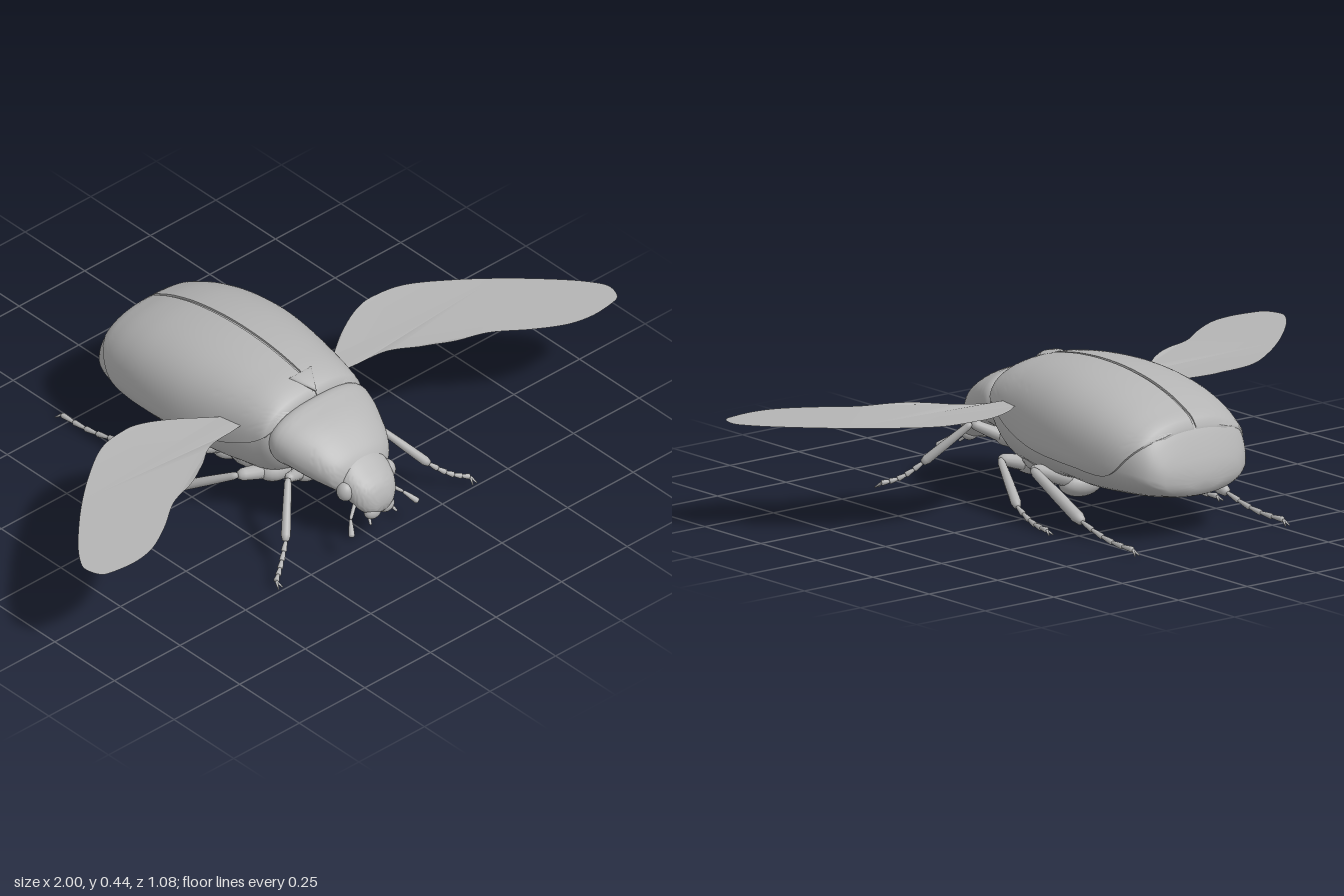
import * as THREE from 'three';
import { toCreasedNormals } from 'three/addons/utils/BufferGeometryUtils.js';
import { ParametricGeometry } from 'three/addons/geometries/ParametricGeometry.js';

// Cross-sections, each [z, halfWidth, topY, widestY, bottomY]
const ABDOMEN = [
  [-.508, .06, .2, .175, .15], [-.5, .12, .225, .18, .135], [-.48, .165, .275, .19, .125],
  [-.455, .19, .325, .2, .12], [-.4, .215, .362, .21, .11], [-.3, .236, .4, .225, .1],
  [-.2, .245, .421, .23, .095], [-.1, .243, .431, .235, .1], [0, .231, .431, .235, .09],
  [.1, .21, .421, .25, .09], [.2, .187, .397, .27, .11], [.235, .176, .375, .28, .16], [.25, .16, .355, .28, .2],
];
const PRONOTUM = [
  [.225, .165, .35, .28, .17], [.25, .178, .367, .28, .165], [.3, .172, .356, .27, .175], [.36, .15, .33, .25, .165],
  [.41, .125, .295, .235, .155], [.44, .1, .265, .215, .15], [.455, .07, .24, .2, .15],
];
const HEAD = [
  [.42, .075, .275, .2, .14], [.45, .085, .255, .19, .13], [.475, .08, .235, .18, .115],
  [.5, .07, .215, .165, .105], [.52, .05, .19, .15, .11], [.53, .03, .165, .145, .12],
];
// Lower rim of a wing case, [z, y]
const RIM = [[-.462, .3], [-.41, .245], [-.38, .212], [-.34, .19], [-.21, .195], [0, .21], [.136, .243], [.23, .3], [.245, .32]];
// Hind wing outline, [x, z]
const WING = [
  [.2, .09], [.3, .02], [.4, -.028], [.48, -.038], [.58, -.018], [.7, .06], [.82, .16], [.93, .27], [.985, .34], [1, .38],
  [.985, .425], [.95, .44], [.87, .447], [.79, .43], [.7, .38], [.6, .31], [.5, .275], [.42, .23], [.33, .17], [.2, .15],
];

const table = (rows) => new THREE.CubicInterpolant(
  rows.map((r) => r[0]), rows.flatMap((r) => r.slice(1)), rows[0].length - 1, new Float32Array(rows[0].length - 1));

// Point on a body section; t runs from the top (0) over +x to the bottom (PI)
function sectionPoint(tab, z, t, grow, out) {
  const [w, top, mid, bottom] = tab.evaluate(z);
  const s = Math.sin(t), c = Math.cos(t), p = c > 0 ? .8 : .95;
  const x = Math.sign(s) * Math.abs(s) ** p * (w + grow);
  const y = mid + Math.sign(c) * Math.abs(c) ** p * ((c > 0 ? top - mid : mid - bottom) + grow);
  return out.set(x, y, z);
}

// Closed body lofted through the sections
function loft(rows, slices) {
  const tab = table(rows), z0 = rows[0][0], z1 = rows[rows.length - 1][0], mid = new THREE.Vector3();
  const geo = new ParametricGeometry((u, v, out) => {
    const k = THREE.MathUtils.clamp((u * slices - 1) / (slices - 2), 0, 1);
    sectionPoint(tab, THREE.MathUtils.lerp(z0, z1, k), v * Math.PI * 2, 0, out);
    if (u < .001 || u > .999) {
      const [, top, , bottom] = tab.evaluate(out.z);
      out.copy(mid.set(0, (top + bottom) / 2, out.z));
    }
  }, slices, 48);
  return toCreasedNormals(geo, .8);
}

// One wing case: a thin shell over the abdomen with edges turned in
function wingCase() {
  const tab = table(ABDOMEN), rim = table(RIM), probe = new THREE.Vector3(), nu = 48, nv = 28;
  const geo = new ParametricGeometry((u, v, out) => {
    const k = THREE.MathUtils.clamp((u * nu - 1) / (nu - 2), 0, 1);
    const m = THREE.MathUtils.clamp((v * nv - 1) / (nv - 2), 0, 1);
    const z = THREE.MathUtils.lerp(-.462, .245, k), edge = rim.evaluate(z)[0];
    let lo = .03, hi = 2.6;
    for (let i = 0; i < 24; i++) {
      const t = (lo + hi) / 2;
      if (sectionPoint(tab, z, t, 0, probe).y > edge) lo = t; else hi = t;
    }
    const turned = u < .001 || u > .999 || v < .001 || v > .999;
    sectionPoint(tab, z, THREE.MathUtils.lerp(.008, lo, m), turned ? -.008 : .006, out);
  }, nu, nv);
  return toCreasedNormals(geo, .8);
}

export function createModel() {
  const model = new THREE.Group();
  model.name = 'beetle';
  const grey = new THREE.MeshStandardMaterial({ color: 0xb4b4b4, side: THREE.DoubleSide });
  grey.name = 'grey';
  const add = (parent, name, geo) => {
    const mesh = new THREE.Mesh(geo, grey);
    mesh.name = name;
    parent.add(mesh);
    return mesh;
  };
  const ellipsoid = (parent, name, pos, size) => {
    const m = add(parent, name, new THREE.SphereGeometry(1, 24, 16));
    m.position.set(...pos);
    m.scale.set(...size);
    return m;
  };
  // Rounded limb piece from a to b, swelling from radius r0 to r1
  const limb = (parent, name, a, b, r0, r1) => {
    const p = new THREE.Vector3(...a), d = new THREE.Vector3(...b).sub(p), len = d.length();
    const profile = [[0, 0], [r0 * .7, .015], [r0, .08], [(r0 + r1) / 2 * 1.05, .5], [r1, .9], [r1 * .7, .98], [0, 1]]
      .map(([r, h]) => new THREE.Vector2(r, h * len));
    const m = add(parent, name, new THREE.LatheGeometry(profile, 12));
    m.position.copy(p);
    m.quaternion.setFromUnitVectors(new THREE.Vector3(0, 1, 0), d.normalize());
  };

  // Body
  add(model, 'abdomen', loft(ABDOMEN, 64));
  add(model, 'pronotum', loft(PRONOTUM, 32));
  add(model, 'head', loft(HEAD, 28));
  ellipsoid(model, 'sternum', [0, .14, .08], [.16, .07, .13]);
  ellipsoid(model, 'neck', [0, .26, .235], [.155, .09, .04]);
  // Small triangular plate between the wing cases
  const plate = add(model, 'scutellum', new THREE.SphereGeometry(1, 3, 12));
  plate.position.set(0, .4, .2);
  plate.scale.set(.05, .014, .05);
  plate.rotation.set(.35, Math.PI / 2, 0, 'XYZ');

  // Everything paired is made on +x and mirrored
  const half = (name, sign) => {
    const side = new THREE.Group();
    side.name = name;
    side.scale.x = sign;
    model.add(side);

    add(side, 'wingCase', wingCase());

    // Flat hind wing, dipping towards the root
    const shape = new THREE.Shape();
    shape.moveTo(WING[0][0], -WING[0][1]);
    shape.splineThru(WING.slice(1).map(([x, z]) => new THREE.Vector2(x, -z)));
    const wing = new THREE.ShapeGeometry(shape, 60).rotateX(-Math.PI / 2);
    const pos = wing.attributes.position;
    for (let i = 0; i < pos.count; i++) {
      pos.setY(i, .325 - .017 * THREE.MathUtils.clamp((.45 - pos.getX(i)) / .2, 0, 1));
    }
    wing.computeVertexNormals();
    add(side, 'hindWing', wing);

    // Legs: hip, knee, ankle, toe
    const legs = [
      ['frontLeg', [.07, .15, .27], [.175, .205, .32], [.275, .085, .42], [.37, .03, .485], .02, .014],
      ['middleLeg', [.07, .1, .16], [.21, .14, .15], [.285, .045, -.02], [.31, .014, -.18], .024, .015],
      ['hindLeg', [.06, .085, -.03], [.24, .15, -.03], [.265, .05, -.285], [.274, .018, -.52], .026, .019],
    ];
    for (const [legName, hip, knee, ankle, toe, rFemur, rTibia] of legs) {
      const leg = new THREE.Group();
      leg.name = legName;
      side.add(leg);
      limb(leg, 'femur', hip, knee, rFemur, rFemur * .75);
      limb(leg, 'tibia', knee, ankle, rTibia * .75, rTibia);
      const at = (k) => hip.map((_, i) => THREE.MathUtils.lerp(ankle[i], toe[i], k)
        - (i === 1 ? .012 * Math.sin(k * Math.PI) : 0));
      for (let i = 0; i < 5; i++) limb(leg, 'footSegment', at(i / 5 - .02), at((i + 1) / 5), .005, .0085);
      for (const s of [-1, 1]) {
        limb(leg, 'claw', toe, [toe[0] + s * .008, Math.max(.002, toe[1] - .016), toe[2] + Math.sign(toe[2]) * .02], .004, .002);
      }
    }
    ellipsoid(side, 'frontHip', [.07, .165, .28], [.045, .035, .04]);
    ellipsoid(side, 'middleHip', [.08, .115, .16], [.06, .04, .05]);
    ellipsoid(side, 'hindHip', [.065, .085, -.03], [.07, .04, .05]);

    // Head details
    ellipsoid(side, 'eye', [.08, .185, .455], [.024, .03, .026]);
    ellipsoid(side, 'jaw', [.025, .118, .51], [.028, .022, .02]);
    limb(side, 'antennaStalk', [.065, .15, .48], [.1, .12, .5], .006, .005);
    limb(side, 'antennaClub', [.1, .12, .5], [.127, .09, .535], .005, .009);
    limb(side, 'feeler', [.035, .12, .5], [.05, .092, .53], .005, .004);
  };
  half('leftSide', 1);
  half('rightSide', -1);
  return model;
}
